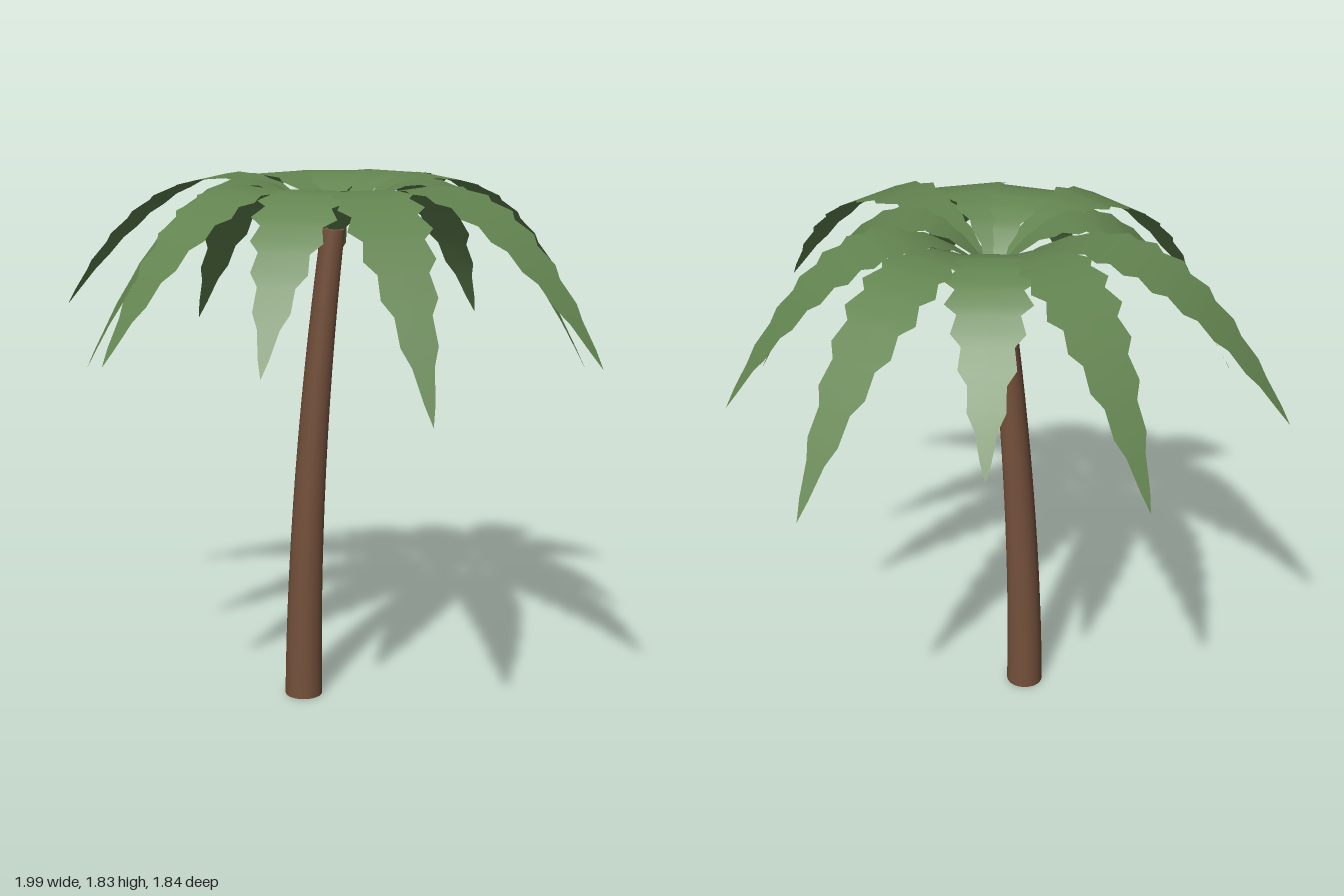
import * as THREE from 'three';

const leafGreen = new THREE.MeshStandardMaterial({ name: 'leafGreen', color: 0x638450, side: THREE.DoubleSide });
const barkBrown = new THREE.MeshStandardMaterial({ name: 'barkBrown', color: 0x74503b });

const CROWN = new THREE.Vector3(0.04, 1.65, 0.07);

// Tip of each frond: x, y, z
const TIPS = [
  [0.33, 1.22, -0.93], [-0.2, 1.34, -0.72], [-0.67, 1.22, -0.54], [-1, 1.34, -0.07],
  [-0.72, 1.22, 0.43], [-0.47, 1.34, 0.88], [0.04, 1.34, 0.91], [0.55, 1.22, 0.87],
  [0.99, 1.34, 0.51], [0.87, 1.22, -0.04], [0.75, 1.34, -0.54],
];

// Half width of a frond along its length: fraction, width
const WIDTHS = [[0, 0.012], [0.15, 0.04], [0.3, 0.09], [0.45, 0.127], [0.6, 0.122], [0.75, 0.09], [0.9, 0.045], [1, 0]];
function halfWidth(u) {
  for (let i = 1; i < WIDTHS.length; i++) {
    const [a, wa] = WIDTHS[i - 1], [b, wb] = WIDTHS[i];
    if (u <= b) return THREE.MathUtils.lerp(wa, wb, (u - a) / (b - a));
  }
  return 0;
}

// A flat ribbon that rises from the crown, arches over and ends in a point, with toothed edges
function frondGeometry(tip) {
  const end = new THREE.Vector3(...tip);
  const ctrl = CROWN.clone().lerp(end, 0.46);
  ctrl.y = tip[1] > 1.3 ? 2.127 : 2.16;
  const curve = new THREE.QuadraticBezierCurve3(CROWN, ctrl, end);
  const side = new THREE.Vector3(end.z - CROWN.z, 0, CROWN.x - end.x).normalize();
  const teeth = 11, rows = teeth * 2;
  const pos = [], index = [];
  for (let i = 0; i <= rows; i++) {
    const tooth = i % 2;
    const t = (i + (tooth ? 0.25 : 0)) / rows;
    const p = curve.getPoint(t);
    const w = halfWidth(t) * (tooth ? 1.13 : 0.86);
    for (const s of [-1, 0, 1]) pos.push(p.x + side.x * w * s, p.y, p.z + side.z * w * s);
    if (i === rows) break;
    for (const k of [0, 1]) {
      const a = i * 3 + k;
      index.push(a, a + 1, a + 3, a + 1, a + 4, a + 3);
    }
  }
  const g = new THREE.BufferGeometry();
  g.setAttribute('position', new THREE.Float32BufferAttribute(pos, 3));
  g.setIndex(index);
  g.computeVertexNormals();
  // Keep the normals on the upper face
  if (g.attributes.normal.getY(rows) < 0) {
    for (let i = 0; i < index.length; i += 3) [index[i], index[i + 1]] = [index[i + 1], index[i]];
    g.setIndex(index);
    g.computeVertexNormals();
  }
  return g;
}

// Tapered cylinder bent sideways towards the crown
function trunkGeometry() {
  const h = 1.67;
  const g = new THREE.CylinderGeometry(0.04, 0.066, h, 20, 14);
  g.translate(0, h / 2, 0);
  const p = g.attributes.position;
  for (let i = 0; i < p.count; i++) {
    const u = p.getY(i) / h;
    p.setX(i, p.getX(i) - 0.073 + 0.107 * Math.pow(u, 1.9));
    p.setZ(i, p.getZ(i) + 0.087);
  }
  return g;
}

export function createModel() {
  const model = new THREE.Group();
  model.name = 'palmTree';

  const trunk = new THREE.Mesh(trunkGeometry(), barkBrown);
  trunk.name = 'trunk';
  model.add(trunk);

  const crown = new THREE.Group();
  crown.name = 'crown';
  TIPS.forEach((tip, i) => {
    const frond = new THREE.Mesh(frondGeometry(tip), leafGreen);
    frond.name = `frond${i + 1}`;
    crown.add(frond);
  });
  model.add(crown);
  return model;
}
